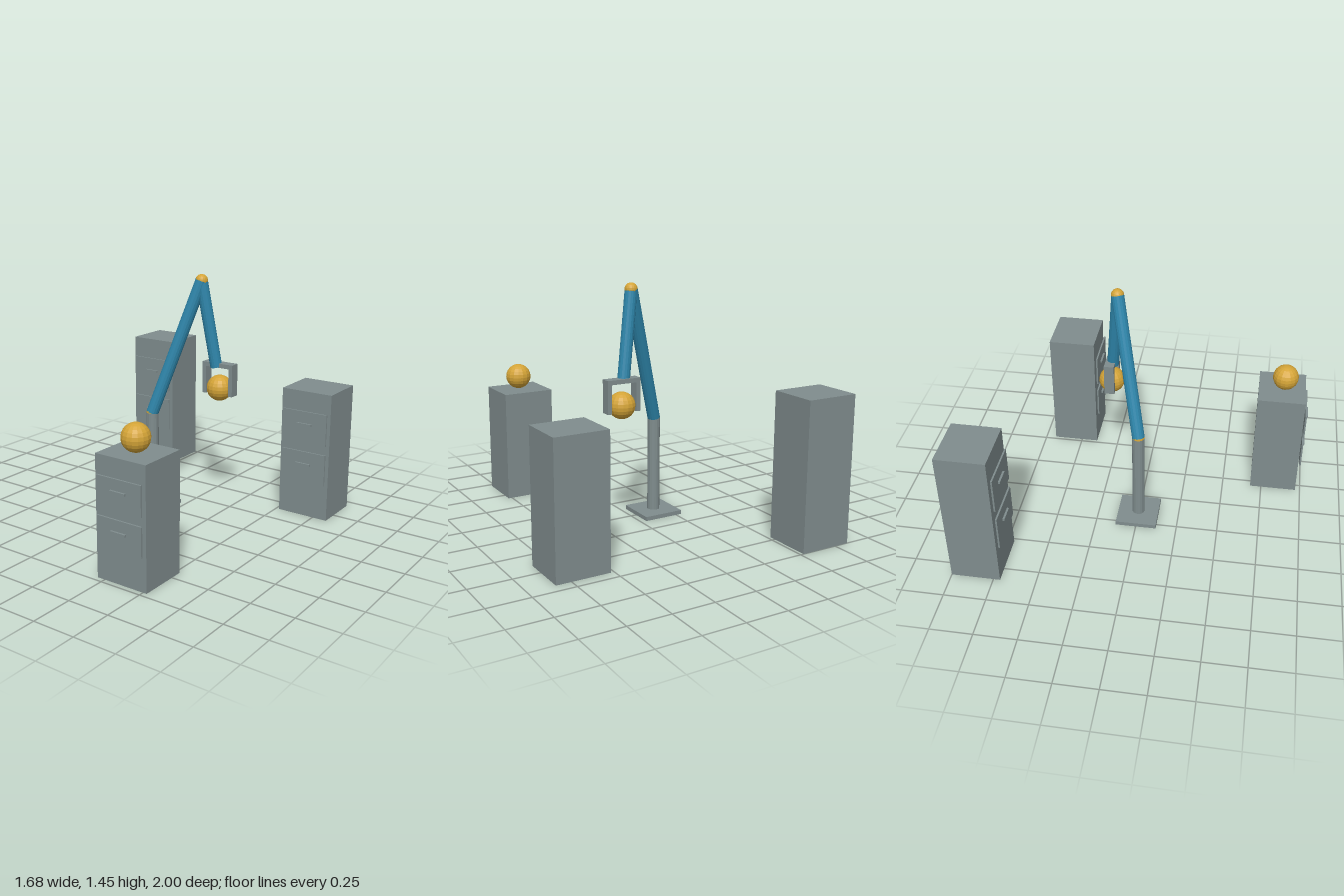
import * as THREE from 'three';

export function createModel() {
  const model = new THREE.Group();
  model.name = 'robotArmAndCabinets';
  const mat = (name, color, flatShading = false) => {
    const m = new THREE.MeshStandardMaterial({ color, flatShading });
    m.name = name;
    return m;
  };
  const grey = mat('grey', 0x7f8c8d, true);
  const blue = mat('blue', 0x2e86ab, true);
  const gold = mat('gold', 0xd4a437, true);

  const add = (parent, name, geometry, material, x, y, z) => {
    const mesh = new THREE.Mesh(geometry, material);
    mesh.name = name;
    mesh.position.set(x, y, z);
    parent.add(mesh);
    return mesh;
  };
  const box = (parent, name, w, h, d, x, y, z) =>
    add(parent, name, new THREE.BoxGeometry(w, h, d), grey, x, y, z);
  const ball = (parent, name, r, p) =>
    add(parent, name, new THREE.SphereGeometry(r, 16, 12), gold, p.x, p.y, p.z);

  // Cylinder running from a to b
  const rod = (parent, name, a, b, r, material) => {
    const dir = b.clone().sub(a);
    const mid = a.clone().add(b).multiplyScalar(0.5);
    const geo = new THREE.CylinderGeometry(r, r, dir.length(), 16);
    const mesh = add(parent, name, geo, material, mid.x, mid.y, mid.z);
    mesh.quaternion.setFromUnitVectors(new THREE.Vector3(0, 1, 0), dir.normalize());
  };

  // Cabinet with two raised drawer fronts and handles
  const cabinet = (name, x, z, h) => {
    const g = new THREE.Group();
    g.name = name;
    g.position.set(x, 0, z);
    box(g, 'cabinetBody', 0.32, h, 0.29, 0, h / 2, 0);
    for (const f of [0.405, 0.724]) {
      box(g, 'drawerFront', 0.285, h * 0.247, 0.01, 0, h * f, 0.158);
      box(g, 'drawerHandle', 0.096, 0.013, 0.012, 0, h * (f + 0.024), 0.169);
    }
    model.add(g);
  };
  cabinet('tallCabinet', -0.68, -0.855, 0.87);
  cabinet('mediumCabinet', 0.68, -0.54, 0.78);
  cabinet('lowCabinet', 0.363, 0.825, 0.688);

  // Arm: base plate, column, two links and their joints
  const arm = new THREE.Group();
  arm.name = 'robotArm';
  model.add(arm);
  const foot = new THREE.Vector3(-0.16, 0.025, 0);
  const shoulder = new THREE.Vector3(-0.16, 0.605, 0);
  const elbow = new THREE.Vector3(0.09, 1.414, -0.155);
  const wrist = new THREE.Vector3(0.168, 0.897, -0.203);
  box(arm, 'basePlate', 0.25, 0.025, 0.25, -0.16, 0.0125, 0);
  rod(arm, 'column', foot, shoulder, 0.038, grey);
  ball(arm, 'shoulderJoint', 0.038, shoulder);
  rod(arm, 'upperArm', shoulder, elbow, 0.038, blue);
  ball(arm, 'elbowJoint', 0.038, elbow);
  rod(arm, 'forearm', elbow, wrist, 0.036, blue);

  // Gripper with two fingers around the held ball
  const gripper = new THREE.Group();
  gripper.name = 'gripper';
  gripper.position.set(0.186, 0, -0.215);
  arm.add(gripper);
  box(gripper, 'gripperBar', 0.21, 0.026, 0.06, 0, 0.91, 0);
  for (const s of [-1, 1]) box(gripper, 'gripperFinger', 0.026, 0.168, 0.06, s * 0.092, 0.813, 0);

  ball(model, 'heldBall', 0.079, new THREE.Vector3(0.186, 0.767, -0.215));
  ball(model, 'restingBall', 0.079, new THREE.Vector3(0.364, 0.767, 0.839));
  return model;
}
